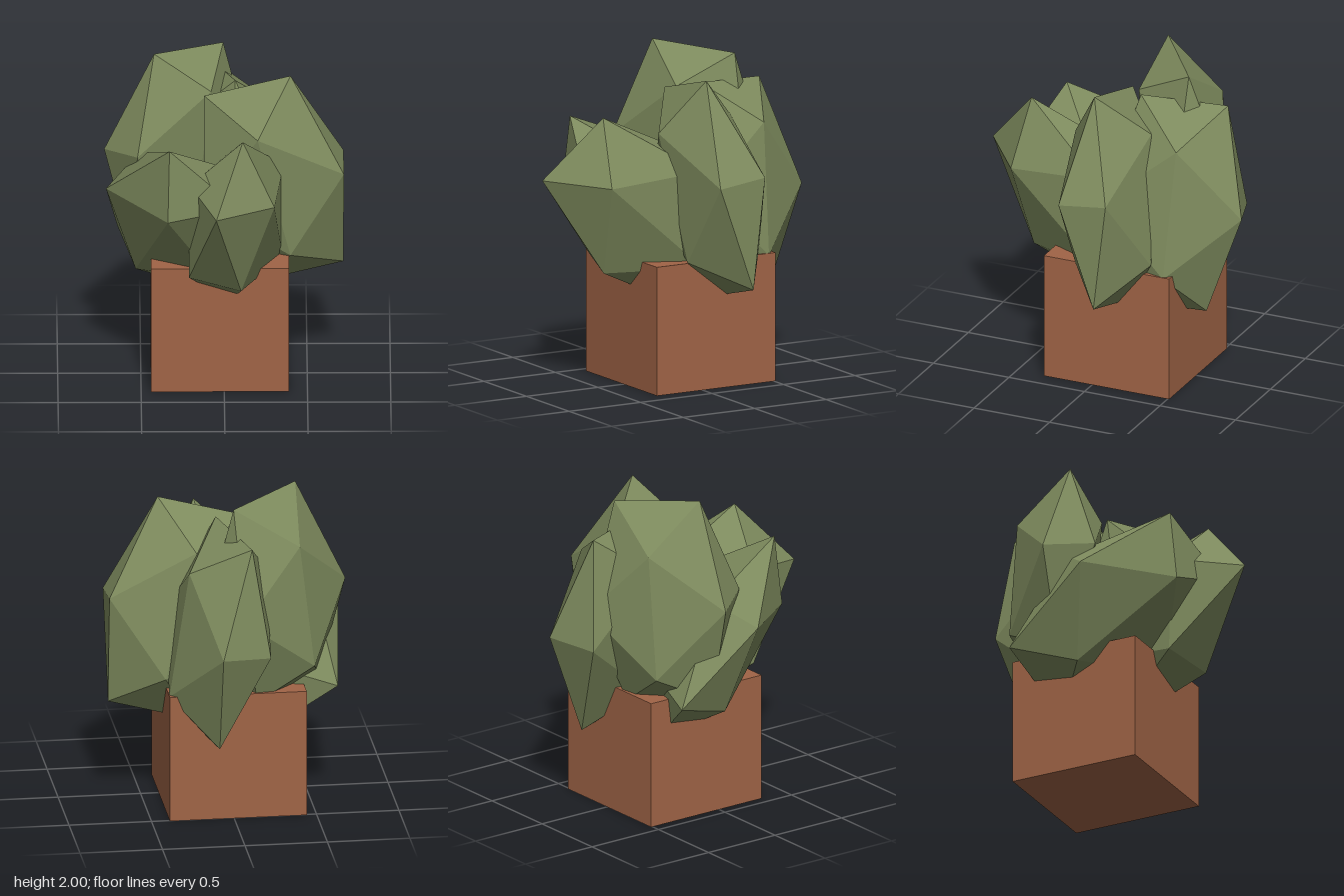
import * as THREE from 'three';
import { ConvexGeometry } from 'three/addons/geometries/ConvexGeometry.js';

const V = (p) => new THREE.Vector3(...p);

// A stretched, tilted icosahedron set by its centre and the corners of one face.
function facetedClump(center, face) {
  const c = V(center);
  const [p, q, r] = face.map((f) => V(f).sub(c));
  const k = (Math.sqrt(5) - 1) / 2;
  // corner on the far side of edge u-v, opposite w
  const across = (u, v, w) => u.clone().add(v).multiplyScalar(k).sub(w);
  const half = [p, q, r, across(p, q, r), across(q, r, p), across(r, p, q)];
  const points = half.flatMap((v) => [c.clone().add(v), c.clone().sub(v)]);
  return new ConvexGeometry(points);
}

export function createModel() {
  const group = new THREE.Group();
  group.name = 'pottedPlant';

  const terracotta = new THREE.MeshStandardMaterial({ color: 0xa06446 });
  terracotta.name = 'terracotta';
  const leafGreen = new THREE.MeshStandardMaterial({ color: 0x7d8a5d });
  leafGreen.name = 'leafGreen';

  // square pot
  const pot = new THREE.Mesh(new THREE.BoxGeometry(0.83, 0.79, 0.83), terracotta);
  pot.name = 'pot';
  pot.position.set(-0.025, 0.395, -0.095);
  group.add(pot);

  // foliage clumps: centre, then three corners of one face
  const clumps = {
    frontClump: [[0.073, 1.055, 0.209],
      [[-0.05, 1.3, 0.86], [0.3, 1.28, 0.58], [0.11, 1.68, 0.53]]],
    leftClump: [[0.3, 1.212, -0.098],
      [[0.72, 1.3, 0.07], [0.72, 1.34, -0.24], [0.4, 1.9, -0.02]]],
    rightFrontClump: [[-0.278, 1.04, 0.105],
      [[-0.33, 1.61, 0.5], [-0.34, 1.17, 0.55], [-0.71, 1.22, 0.09]]],
    rightTopClump: [[-0.283, 1.36, -0.3],
      [[-0.42, 2, -0.13], [-0.72, 1.38, -0.16], [-0.4, 1.71, -0.5]]],
    backClump: [[0.085, 1.15, -0.4],
      [[-0.087, 1.77, -0.68], [0.11, 1.13, -0.86], [0.27, 1.57, -0.5]]],
  };
  for (const [name, [center, face]] of Object.entries(clumps)) {
    const clump = new THREE.Mesh(facetedClump(center, face), leafGreen);
    clump.name = name;
    group.add(clump);
  }
  return group;
}
